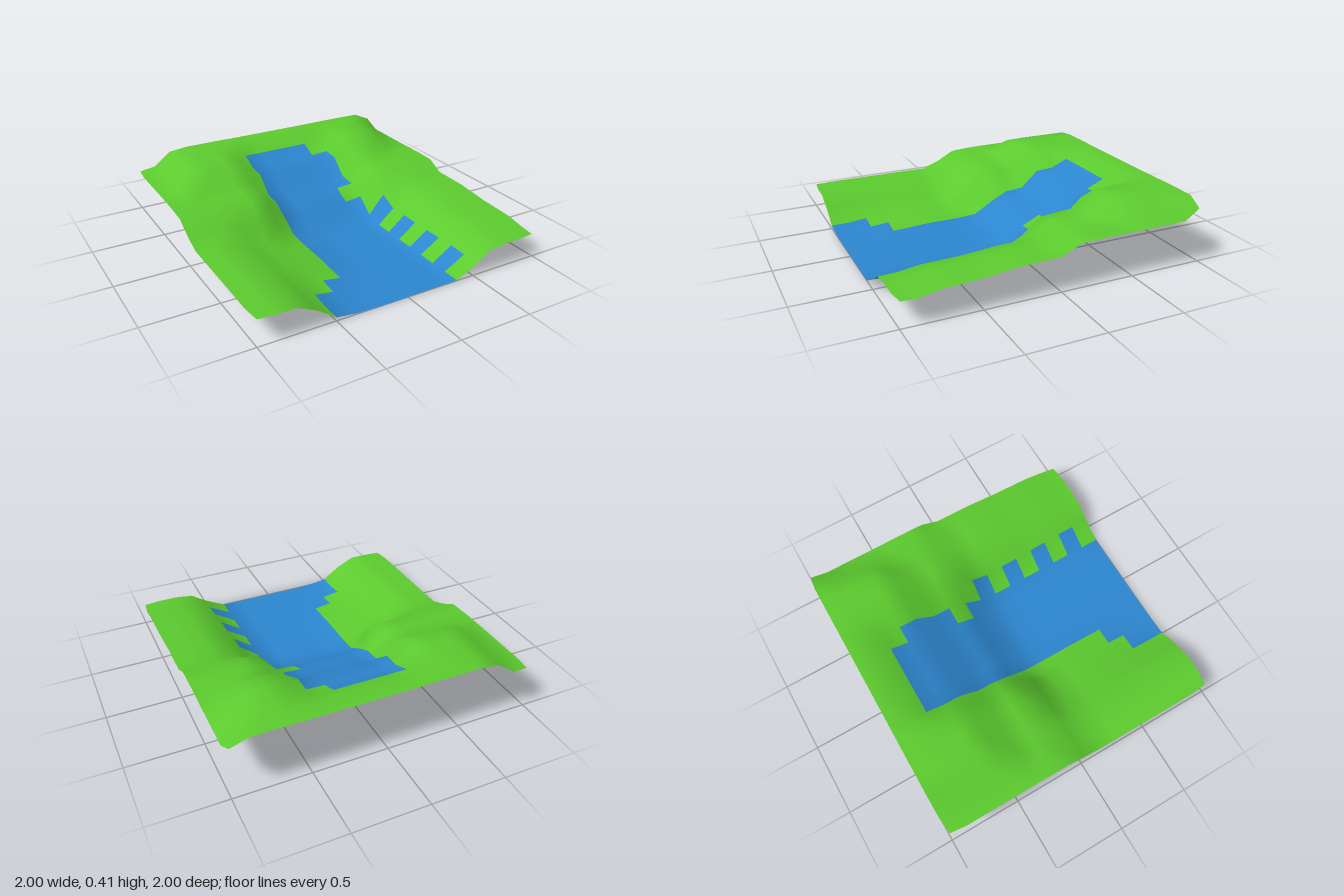
import * as THREE from 'three';

const N = 16, STEP = 2 / N;

// Piecewise-linear curve through [position, value] knots with rising positions
function curve(knots, t) {
  if (t <= knots[0][0]) return knots[0][1];
  for (let i = 1; i < knots.length; i++) {
    const [a, u] = knots[i - 1], [b, v] = knots[i];
    if (t <= b) return u + (v - u) * (t - a) / (b - a);
  }
  return knots[knots.length - 1][1];
}

// Heights along z: river bed, and the plateau on either bank
const BED = [[-0.875, 0.41], [-0.75, 0.352], [-0.625, 0.3], [-0.5, 0.292], [-0.375, 0.18],
  [-0.25, 0.17], [-0.125, 0.11], [0, 0.02], [0.125, 0]];
const LOW_X = [[-0.625, 0.412], [-0.5, 0.4], [-0.375, 0.302], [-0.125, 0.29], [0, 0.22], [0.125, 0.17]];
const HIGH_X = [[-0.625, 0.412], [-0.5, 0.4], [-0.375, 0.302], [-0.125, 0.29], [0, 0.23],
  [0.25, 0.225], [0.5, 0.2], [0.75, 0.188], [0.875, 0.165], [1, 0.16]];

// Share of plateau height across x: upstream, midway and at the mouth
const UPSTREAM = [[-0.375, 0.96], [-0.25, 0], [0.25, 0], [0.375, 0.08], [0.5, 0.9], [0.625, 1]];
const MIDWAY = [[-0.75, 1], [-0.625, 0.66], [-0.5, 0.45], [-0.375, 0.32], [-0.25, 0.15], [-0.125, 0],
  [0.375, 0], [0.5, 0.45], [0.625, 0.85], [0.75, 1]];
const MOUTH = [[-0.75, 1], [-0.625, 0.66], [-0.5, 0.14], [-0.375, 0.04], [-0.25, 0],
  [0.375, 0], [0.5, 0.5], [0.625, 0.9], [0.75, 1]];

// Lowered outer rims of the upper plateau
const RIM_LEFT = [[-1, 0.36], [-0.875, 0.298], [-0.5, 0.295]];
const RIM_LEFT_INNER = [[-1, 0.41], [-0.875, 0.395], [-0.5, 0.31]];
const RIM_RIGHT = [[-1, 0.295], [-0.875, 0.306], [-0.75, 0.398], [-0.625, 0.415]];

function height(x, z) {
  const bed = curve(BED, z);
  const top = curve(x < 0 ? LOW_X : HIGH_X, z);
  const up = curve(UPSTREAM, x), mid = curve(MIDWAY, x), mouth = curve(MOUTH, x);
  const share = curve([[-0.125, up], [0.125, mid], [0.375, mid], [0.875, mouth]], z);
  let y = bed + (top - bed) * share;
  if (x < 0) y = Math.min(y, curve(RIM_RIGHT, x));
  if (x > 0.95) y = Math.min(y, curve(RIM_LEFT, z));
  else if (x > 0.8) y = Math.min(y, curve(RIM_LEFT_INNER, z));
  return y;
}

// Whether the grid cell with centre (x, z) is water
function isWater(x, z) {
  if (z < -0.75) return false;
  const left = z > 0.75 ? -0.5 : z > 0.625 ? -0.375 : -0.25;
  let right = 0.375;
  if (z < -0.625 || (z > -0.25 && z < -0.125)) right = 0.25;
  // Alternating wet cells along the lower bank
  if (z > 0 && Math.floor(z / STEP) % 2 === 0) right = 0.5;
  return x > left && x < right;
}

export function createModel() {
  const group = new THREE.Group();
  group.name = 'riverTerrain';

  // Shared grid of points
  const points = [], land = [], water = [];
  for (let j = 0; j <= N; j++) {
    for (let i = 0; i <= N; i++) {
      const x = -1 + i * STEP, z = -1 + j * STEP;
      const corner = i % N === 0 && j % N === 0;
      const drift = x === 0.5 && z >= 0 ? 0.04 * z - 0.01 : 0;
      const inset = corner ? 0.987 : 1;
      points.push((x + drift) * inset, height(x, z), z * inset);
    }
  }

  // Cells sorted into land and water
  for (let j = 0; j < N; j++) {
    for (let i = 0; i < N; i++) {
      const a = j * (N + 1) + i, b = a + 1, c = a + N + 1, d = c + 1;
      const wet = isWater(-1 + (i + 0.5) * STEP, -1 + (j + 0.5) * STEP);
      (wet ? water : land).push(a, c, b, b, c, d);
    }
  }

  // Smooth normals are taken over the whole sheet so both parts meet seamlessly
  const sheet = new THREE.BufferGeometry();
  sheet.setAttribute('position', new THREE.Float32BufferAttribute(points, 3));
  sheet.setIndex([...land, ...water]);
  sheet.computeVertexNormals();

  const addPart = (name, index, color) => {
    const geometry = sheet.clone();
    geometry.setIndex(index);
    const mesh = new THREE.Mesh(geometry,
      new THREE.MeshStandardMaterial({ color, side: THREE.DoubleSide }));
    mesh.name = name;
    group.add(mesh);
  };
  addPart('grassLand', land, 0x5ccb2e);
  addPart('river', water, 0x2c86cf);
  return group;
}
